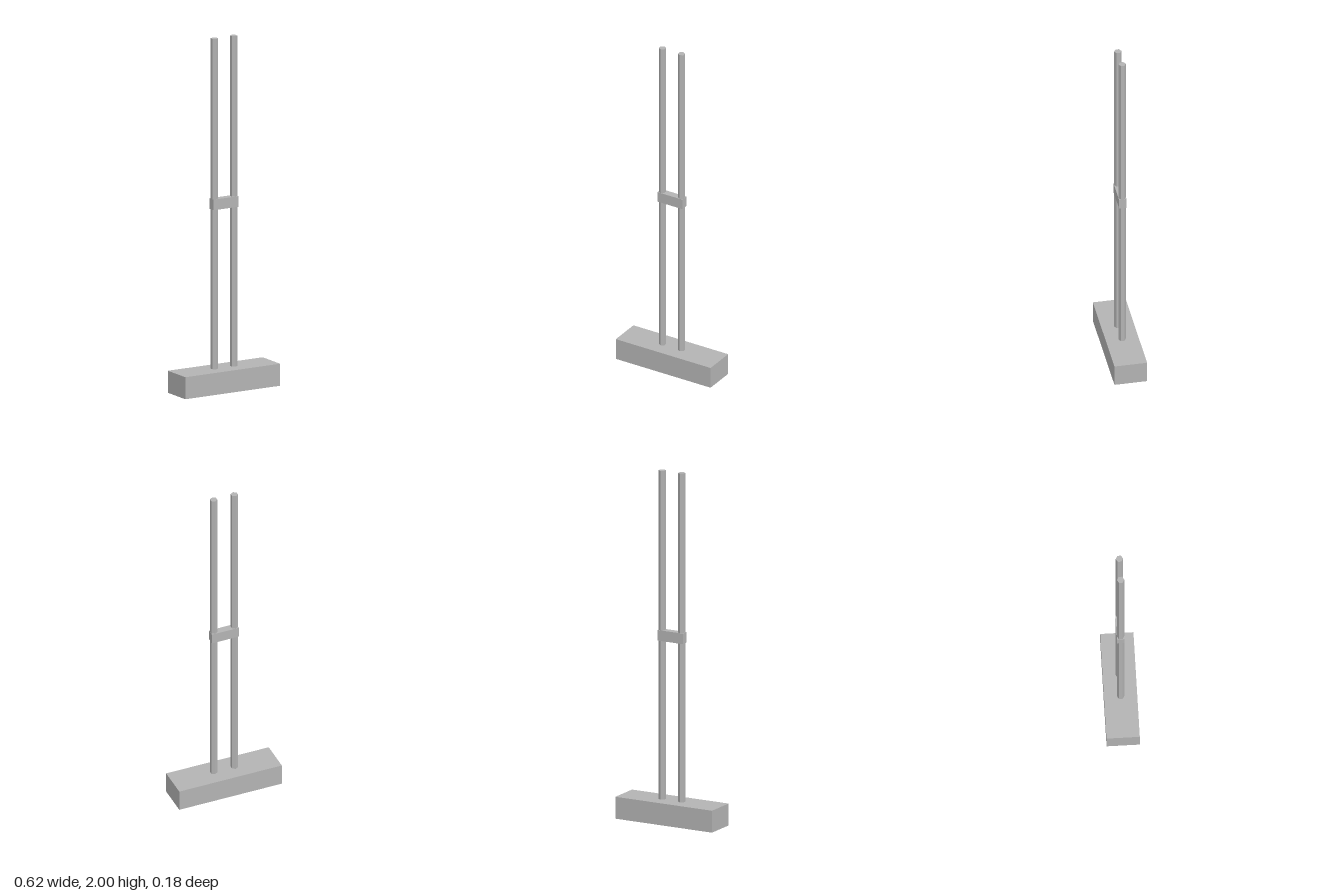
import * as THREE from 'three';

export function createModel() {
  const model = new THREE.Group();
  const grey = new THREE.MeshStandardMaterial({ color: 0xb3b3b3, flatShading: true, side: THREE.DoubleSide });
  grey.name = 'grey';

  const add = (name, geometry, x, y, z) => {
    const mesh = new THREE.Mesh(geometry, grey);
    mesh.name = name;
    mesh.position.set(x, y, z);
    model.add(mesh);
  };

  // Hollow base block, open underneath: drop the box's bottom face (group 3)
  const baseHeight = 0.125;
  const base = new THREE.BoxGeometry(0.616, baseHeight, 0.184);
  const index = Array.from(base.index.array);
  index.splice(base.groups[3].start, base.groups[3].count);
  base.setIndex(index);
  base.clearGroups();
  add('base', base, 0, baseHeight / 2, 0);

  // Pair of six-sided rods, corners pointing to front and back
  const rodHeight = 2 - baseHeight;
  for (const side of [-1, 1]) {
    add(side < 0 ? 'rightRod' : 'leftRod',
      new THREE.CylinderGeometry(0.0205, 0.0205, rodHeight, 6),
      side * 0.062, baseHeight + rodHeight / 2, 0);
  }

  // Clamp bar joining the rods halfway up
  add('clamp', new THREE.BoxGeometry(0.162, 0.06, 0.042), 0, 1.06, 0);

  return model;
}
